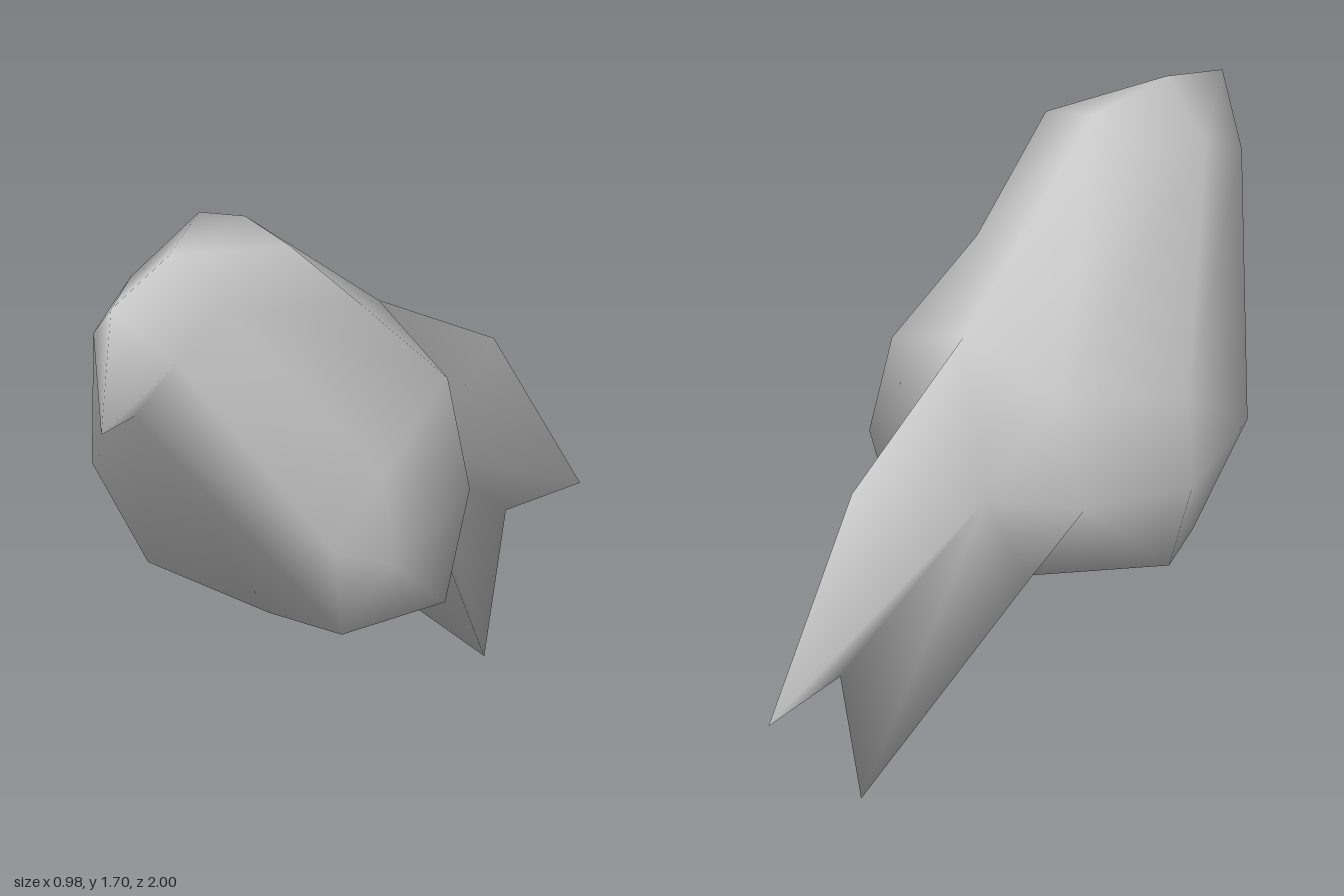
import * as THREE from 'three';

// Key points of the right half (x >= 0); points off the centre line are mirrored
const POINTS = {
  crownFront: [0, 1.695, 0.72], crownBack: [0, 1.70, 0.40], brow: [0, 1.62, 0.96],
  beak: [0, 1.255, 1.0], chin: [0, 1.26, 0.86],
  crownSide: [0.165, 1.66, 0.40], cheek: [0.17, 1.565, 0.68], jaw: [0.15, 1.465, 0.86],
  bellyFront: [0, 0.46, 0.30], bellyBack: [0, 0.465, -0.07], rump: [0, 1.24, -0.16],
  chest: [0.44, 0.86, 0.53], hip: [0.35, 0.54, 0.40], foot: [0.49, 0.585, 0.13],
  wing: [0.42, 1.01, 0.30], flank: [0.44, 0.74, 0.29], shoulder: [0.18, 1.385, 0.12],
  backHigh: [0.30, 1.12, -0.10], backLow: [0.38, 0.81, -0.10],
  tailTop: [0, 0.95, -0.64], tailTip: [0, 0.38, -1.0], notch: [0, 0.41, -0.69],
  lowerTip: [0, 0, -0.60], tailSide: [0.12, 0.80, -0.21], tailRoot: [0.23, 0.57, -0.155],
};

// Triangles of the right half, counter-clockwise from outside
const PARTS = {
  head: [
    'crownFront crownSide crownBack', 'crownFront cheek crownSide', 'brow cheek crownFront',
    'brow jaw cheek', 'brow beak jaw', 'beak chin jaw',
  ],
  body: [
    // chest
    'chin bellyFront hip', 'chin hip chest', 'chin chest jaw',
    // side
    'cheek jaw wing', 'jaw chest wing', 'cheek wing backHigh', 'cheek backHigh shoulder',
    'cheek shoulder crownSide', 'wing backLow backHigh', 'chest flank wing',
    'flank backLow wing', 'chest hip flank', 'hip foot flank', 'flank foot backLow',
    // back
    'crownSide shoulder crownBack', 'crownBack shoulder rump', 'shoulder backHigh rump',
    // underside
    'bellyFront foot hip', 'bellyFront bellyBack foot', 'bellyBack backLow foot',
  ],
  tail: [
    'bellyBack tailRoot backLow', 'bellyBack lowerTip tailRoot', 'tailRoot lowerTip tailSide',
    'tailSide lowerTip notch', 'backLow tailRoot tailSide', 'tailSide notch tailTip',
    'tailSide tailTip tailTop', 'tailSide tailTop rump', 'backLow tailSide backHigh',
    'backHigh tailSide rump',
  ],
};

export function createModel() {
  const group = new THREE.Group();
  group.name = 'bird';
  const grey = new THREE.MeshStandardMaterial({ color: 0xc8c8c8 });
  grey.name = 'lightGrey';

  // Shared vertices for both halves
  const positions = [], right = {}, left = {};
  const add = (x, y, z) => positions.push(x, y, z) / 3 - 1;
  for (const [name, [x, y, z]] of Object.entries(POINTS)) {
    right[name] = add(x, y, z);
    left[name] = x === 0 ? right[name] : add(-x, y, z);
  }

  // Triangle indices of each part, mirrored with reversed order
  const indices = {};
  for (const [part, faces] of Object.entries(PARTS)) {
    indices[part] = faces.flatMap((face) => {
      const [a, b, c] = face.split(' ');
      return [right[a], right[b], right[c], left[a], left[c], left[b]];
    });
  }

  // Smooth normals across the whole skin, so the parts join without a seam
  const skin = new THREE.BufferGeometry();
  skin.setAttribute('position', new THREE.Float32BufferAttribute(positions, 3));
  skin.setIndex(Object.values(indices).flat());
  skin.computeVertexNormals();

  for (const [part, index] of Object.entries(indices)) {
    const geometry = skin.clone();
    geometry.setIndex(index);
    const mesh = new THREE.Mesh(geometry, grey);
    mesh.name = part;
    group.add(mesh);
  }
  return group;
}
